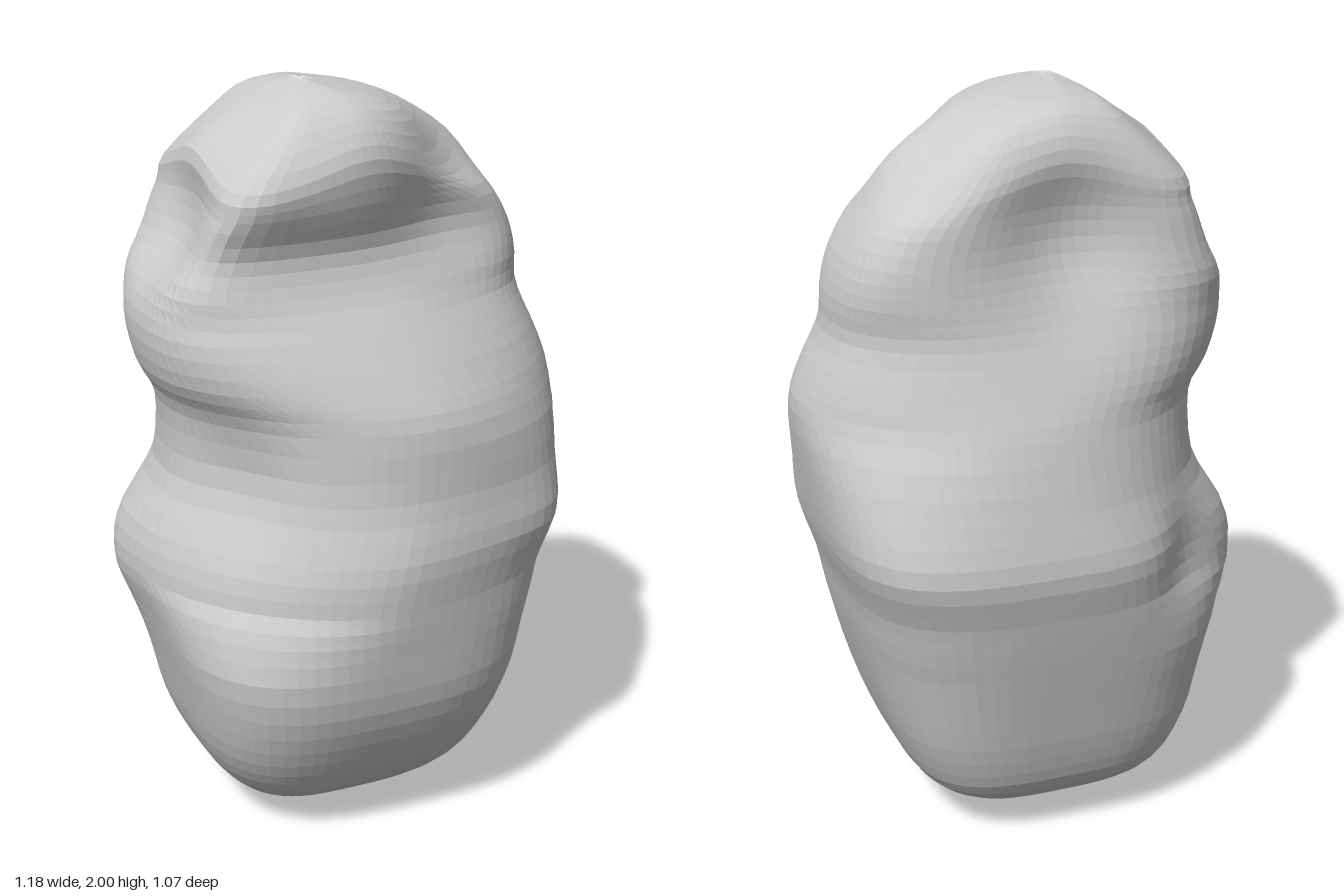
import * as THREE from 'three';

// Horizontal sections, bottom to top: height, right x, left x, back z, front z
const SECTIONS = [
  [0.0, -0.08, -0.08, 0, 0], [0.02, -0.22, 0.06, -0.13, 0.12], [0.07, -0.32, 0.21, -0.26, 0.24],
  [0.15, -0.4, 0.32, -0.36, 0.34], [0.27, -0.46, 0.385, -0.41, 0.42], [0.43, -0.5, 0.44, -0.45, 0.49],
  [0.6, -0.54, 0.485, -0.49, 0.52], [0.72, -0.565, 0.51, -0.515, 0.535], [0.85, -0.55, 0.55, -0.54, 0.54],
  [1.0, -0.49, 0.575, -0.51, 0.505], [1.18, -0.49, 0.595, -0.465, 0.485], [1.28, -0.535, 0.57, -0.43, 0.44],
  [1.4, -0.555, 0.52, -0.39, 0.37], [1.5, -0.535, 0.51, -0.37, 0.31], [1.6, -0.475, 0.48, -0.355, 0.285],
  [1.72, -0.425, 0.41, -0.345, 0.325], [1.83, -0.4, 0.325, -0.335, 0.335], [1.92, -0.27, 0.18, -0.28, 0.28],
  [1.97, -0.19, 0.04, -0.19, 0.2], [2.0, -0.13, -0.13, 0.06, 0.06],
];

// Squareness of the four corners by height: y, back right, front right, back left, front left
const CORNERS = [
  [0.0, 3.2, 3.2, 3.5, 3.2], [0.3, 3.2, 3.2, 3.5, 3], [0.53, 2.9, 3.1, 3.3, 2.7], [0.72, 2.2, 1.8, 3.5, 2.8],
  [0.87, 2.1, 1.75, 3.8, 3.1], [1.0, 2, 2, 3.1, 2.5], [1.2, 2, 2.1, 2.1, 1.8], [1.45, 2.7, 3, 2.8, 2],
  [1.7, 5, 8, 4.5, 4], [2.0, 5, 6, 4, 4],
];

// Local dents and swellings: centre, radius, push
const DENTS = [
  [[-0.46, 1.62, 0], 0.17, [0.05, 0, 0]],          // hollow under the cap, right side
  [[-0.43, 1.04, 0.32], 0.17, [0.03, 0, -0.03]],   // notch on the right front corner
  [[-0.56, 0.74, -0.2], 0.18, [-0.045, 0, 0]],     // knob on the right side
  [[0.28, 1.74, 0.3], 0.24, [-0.04, 0, -0.12]],    // recess on the left front
  [[0.28, 0.8, 0.5], 0.22, [0, 0, -0.04]],         // flatter left half of the front
  [[-0.06, 1.64, -0.35], 0.22, [0, 0, 0.09]],      // scoop under the cap, back
  [[-0.38, 0.8, -0.42], 0.14, [0.03, 0, 0.04]],    // hollow on the back right corner
].map(([c, r, p]) => ({ c: new THREE.Vector3(...c), r, p: new THREE.Vector3(...p) }));

const AROUND = 80, STEPS = 3;

// Smooth interpolation through one column of the section table
function sample(column, row, f) {
  const at = (i) => SECTIONS[THREE.MathUtils.clamp(i, 0, SECTIONS.length - 1)][column];
  const [a, b, c, d] = [at(row - 1), at(row), at(row + 1), at(row + 2)];
  return b + 0.5 * f * (c - a + f * (2 * a - 5 * b + 4 * c - d + f * (3 * (b - c) + d - a)));
}

// Squareness of the corner in the quadrant facing (c, s)
function squareness(y, c, s) {
  const column = 1 + (s > 0 ? 1 : 0) + (c > 0 ? 2 : 0);
  const k = Math.max(1, CORNERS.findIndex((row) => row[0] >= y));
  const [a, b] = [CORNERS[k - 1], CORNERS[k]];
  return THREE.MathUtils.lerp(a[column], b[column], (y - a[0]) / (b[0] - a[0]));
}

function surfacePoint(section, angle) {
  const [y, right, left, back, front] = section;
  const c = Math.cos(angle), s = Math.sin(angle);
  const n = squareness(y, c, s);
  const r = Math.pow(Math.abs(c) ** n + Math.abs(s) ** n, -1 / n);
  const p = new THREE.Vector3(
    (left + right) / 2 + r * c * (left - right) / 2,
    y,
    (front + back) / 2 + r * s * (front - back) / 2,
  );
  // Cap corners droop below the middles of its edges
  const droop = Math.exp(-(((y - 1.83) / 0.1) ** 2));
  p.y -= 0.06 * droop * Math.sin(2 * angle) ** 2;
  const q = p.clone();
  for (const d of DENTS) p.addScaledVector(d.p, Math.exp(-q.distanceToSquared(d.c) / (d.r * d.r)));
  return p;
}

function boulderGeometry() {
  const rows = (SECTIONS.length - 1) * STEPS;
  const positions = [], index = [];
  for (let j = 0; j <= rows; j++) {
    const row = Math.min(Math.floor(j / STEPS), SECTIONS.length - 2);
    const section = [0, 1, 2, 3, 4].map((k) => sample(k, row, j / STEPS - row));
    section[0] = THREE.MathUtils.clamp(section[0], 0, 2);
    for (let i = 0; i < AROUND; i++) {
      positions.push(...surfacePoint(section, (i / AROUND) * Math.PI * 2).toArray());
    }
  }
  for (let j = 0; j < rows; j++) {
    for (let i = 0; i < AROUND; i++) {
      const a = j * AROUND + i, b = j * AROUND + ((i + 1) % AROUND);
      const c = a + AROUND, d = b + AROUND;
      if (j < rows - 1) index.push(a, c, d);
      if (j > 0) index.push(a, d, b);
    }
  }
  const geometry = new THREE.BufferGeometry();
  geometry.setAttribute('position', new THREE.Float32BufferAttribute(positions, 3));
  geometry.setIndex(index);
  geometry.computeVertexNormals();
  return geometry;
}

export function createModel() {
  const group = new THREE.Group();
  group.name = 'rock';
  const material = new THREE.MeshStandardMaterial({ color: 0xcccccc, flatShading: true });
  const boulder = new THREE.Mesh(boulderGeometry(), material);
  boulder.name = 'boulder';
  group.add(boulder);
  return group;
}
